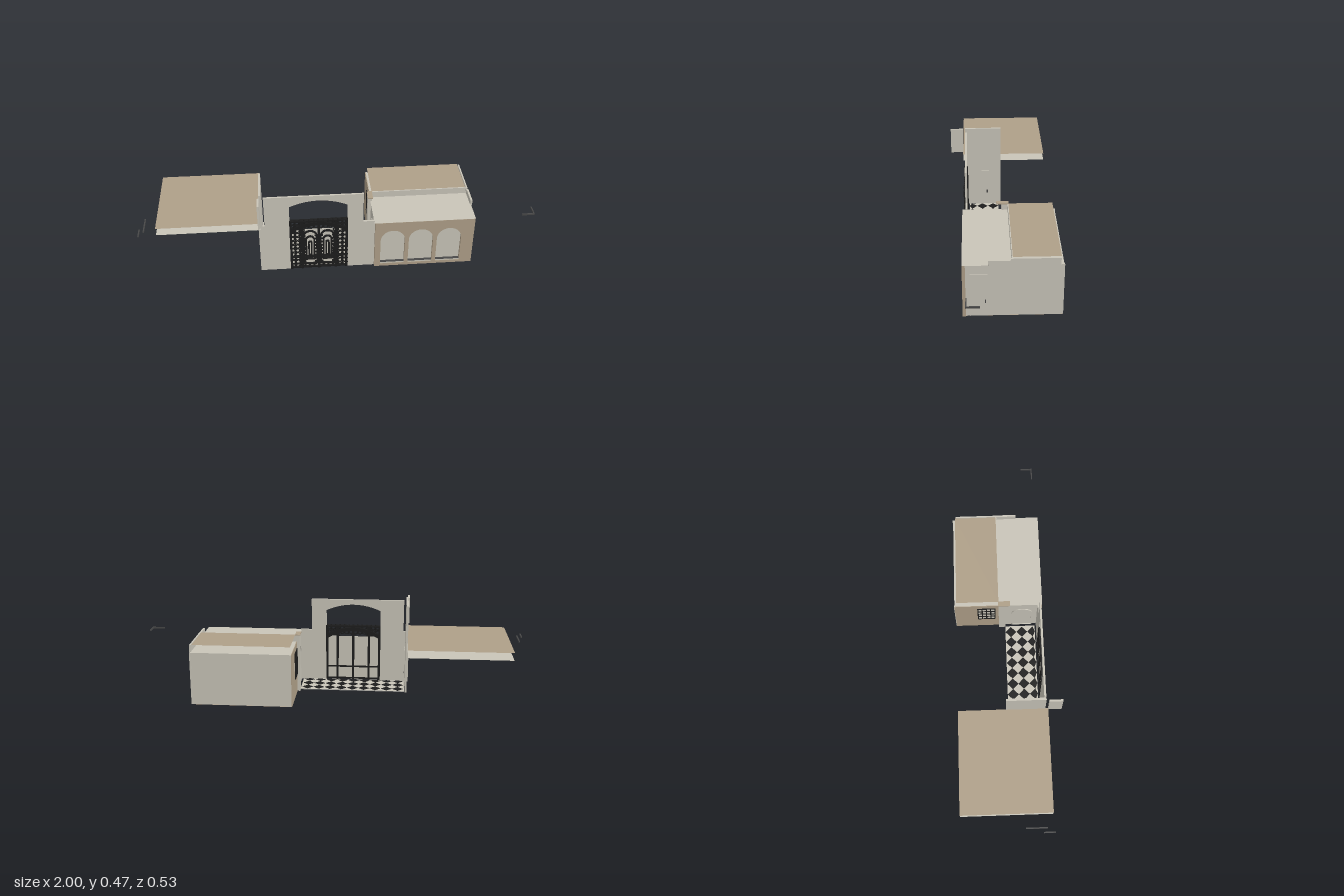
import * as THREE from 'three';

const mat = (name, color) => {
  const m = new THREE.MeshStandardMaterial({ color, side: THREE.DoubleSide });
  m.name = name;
  return m;
};

export function createModel() {
  const root = new THREE.Group();
  const plaster = mat('plaster', 0xc8c4b8);
  const tan = mat('tan', 0xae9f88);
  const black = mat('black iron', 0x1c1c1c);
  const grey = mat('floor grey', 0x8a8a88);
  const dark = mat('dark grey', 0x484848);

  const add = (name, geo, material, parent = root) => {
    const m = new THREE.Mesh(geo, material);
    m.name = name;
    parent.add(m);
    return m;
  };
  // Box given by its limits on each axis
  const box = (name, x0, x1, y0, y1, z0, z1, material, parent) => {
    const g = new THREE.BoxGeometry(x1 - x0, y1 - y0, z1 - z0);
    g.translate((x0 + x1) / 2, (y0 + y1) / 2, (z0 + z1) / 2);
    return add(name, g, material, parent);
  };
  const group = (name) => {
    const g = new THREE.Group();
    g.name = name;
    root.add(g);
    return g;
  };
  const plate = (name, x0, x1, z0, z1, y, material, parent) => {
    const g = new THREE.PlaneGeometry(x1 - x0, z1 - z0).rotateX(-Math.PI / 2);
    g.translate((x0 + x1) / 2, y, (z0 + z1) / 2);
    return add(name, g, material, parent);
  };
  // Upright outline with a round head
  const archPath = (path, x0, x1, y0, spring) => {
    path.moveTo(x0, y0);
    path.lineTo(x1, y0);
    path.lineTo(x1, spring);
    path.absarc((x0 + x1) / 2, spring, (x1 - x0) / 2, 0, Math.PI, false);
    path.lineTo(x0, y0);
    return path;
  };
  const extrude = (shape, depth) =>
    new THREE.ExtrudeGeometry(shape, { depth, bevelEnabled: false, curveSegments: 16 });

  // House body and roofs
  const house = group('house');
  box('houseBody', 0.18, 0.69, 0.005, 0.278, -0.262, 0.185, plaster, house);
  plate('houseUnderside', 0.18, 0.69, -0.262, 0.2, 0.004, tan, house);
  plate('flatRoof', 0.176, 0.692, -0.03, 0.2, 0.279, plaster, house);
  plate('raisedRoof', 0.185, 0.68, -0.25, -0.03, 0.315, tan, house);
  box('roofStepFront', 0.18, 0.69, 0.278, 0.313, -0.032, -0.026, plaster, house);
  box('roofStepSide', 0.684, 0.692, 0.278, 0.313, -0.248, -0.022, plaster, house);
  box('roofCurb', 0.687, 0.697, 0.278, 0.306, -0.022, 0.08, plaster, house);
  for (const x of [0.18, 0.682]) box('backCornerTrim', x, x + 0.008, 0.005, 0.278, -0.265, -0.262, plaster, house);

  // Front facing with three arches
  const facing = new THREE.Shape([[0.18, 0], [0.69, 0], [0.69, 0.278], [0.18, 0.278]].map((p) => new THREE.Vector2(...p)));
  for (const x of [0.21, 0.355, 0.5]) {
    facing.holes.push(archPath(new THREE.Path(), x, x + 0.125, 0.016, 0.165));
    box('archSill', x, x + 0.125, 0.016, 0.024, 0.185, 0.198, plaster, house);
    box('sillLine', x, x + 0.125, 0.024, 0.026, 0.185, 0.199, dark, house);
  }
  add('archedFacing', extrude(facing, 0.015), tan, house).position.z = 0.185;

  // Doors on side walls: frame strips and handle; s is the facing direction along x
  const door = (x, s, z0, z1, top) => {
    const d = group('sideDoor');
    const strip = (n, a, b, c, e, t, m) =>
      box(n, Math.min(x, x + s * t), Math.max(x, x + s * t), a, b, c, e, m, d);
    strip('doorLeaf', 0.005, top, z0, z1, 0.001, plaster);
    strip('doorJamb', 0.005, top, z0 - 0.003, z0, 0.004, plaster);
    strip('doorJamb', 0.005, top, z1, z1 + 0.003, 0.004, plaster);
    strip('doorHead', top, top + 0.004, z0 - 0.003, z1 + 0.003, 0.004, plaster);
    strip('doorHandle', 0.077, 0.094, z0 + 0.004, z0 + 0.01, 0.006, dark);
  };
  door(0.69, 1, 0.087, 0.161, 0.228);
  door(-0.385, 1, 0.06, 0.13, 0.21);

  // Courtyard side of the house: tan wall, lattice window, pillar, arched door
  box('courtWall', 0.177, 0.181, 0.005, 0.278, -0.262, -0.03, tan, house);
  const lattice = group('latticeWindow');
  box('windowPane', 0.175, 0.177, 0.11, 0.245, -0.14, -0.05, plaster, lattice);
  for (let i = 0; i <= 4; i++) {
    const z = -0.14 + i * 0.0225;
    const y = 0.11 + i * 0.03375;
    box('latticeUpright', 0.172, 0.176, 0.11, 0.245, z - 0.003, z + 0.003, black, lattice);
    box('latticeRail', 0.172, 0.176, y - 0.003, y + 0.003, -0.14, -0.05, black, lattice);
  }
  box('courtPillar', 0.163, 0.185, 0.005, 0.31, -0.03, 0.005, plaster, house);
  box('pillarCap', 0.16, 0.187, 0.31, 0.315, -0.032, 0.03, tan, house);
  const courtArch = archPath(new THREE.Shape(), 0.04, 0.15, 0.005, 0.165);
  courtArch.holes.push(archPath(new THREE.Path(), 0.048, 0.142, 0.006, 0.165));
  const archMesh = add('courtArchTrim', extrude(courtArch, 0.005), plaster, house);
  archMesh.rotation.y = -Math.PI / 2;
  archMesh.position.x = 0.18;

  // Gate wall with stepped top and shallow arched opening
  const wall = new THREE.Shape();
  wall.moveTo(-0.405, 0);
  wall.lineTo(-0.25, 0);
  wall.lineTo(-0.25, 0.395);
  wall.quadraticCurveTo(-0.105, 0.46, 0.04, 0.395);
  for (const p of [[0.04, 0], [0.18, 0], [0.18, 0.285], [0.12, 0.285], [0.12, 0.455], [-0.375, 0.455], [-0.375, 0.285], [-0.405, 0.285]])
    wall.lineTo(...p);
  add('gateWall', extrude(wall, 0.01), plaster).position.z = 0.175;

  // Left end wall and projecting panel
  box('endWall', -0.397, -0.386, 0.005, 0.472, -0.01, 0.185, plaster);
  box('projectingPanel', -0.405, -0.395, 0.327, 0.465, 0.198, 0.265, plaster);

  // Iron gate: backing panels, bars, inner arch and scrollwork
  const gate = group('ironGate');
  const bars = [-0.246, -0.19, -0.105, -0.02, 0.036];
  for (const x of bars) box('gatePost', x - 0.006, x + 0.006, 0.005, 0.31, 0.172, 0.194, black, gate);
  for (const y of [0.008, 0.075, 0.302]) box('gateRail', -0.25, 0.04, y, y + 0.008, 0.174, 0.193, black, gate);
  box('gatePanel', -0.25, 0.04, 0.005, 0.25, 0.179, 0.181, plaster, gate);
  const arch = new THREE.Shape();
  arch.moveTo(-0.25, 0.235);
  arch.quadraticCurveTo(-0.105, 0.325, 0.04, 0.235);
  arch.lineTo(0.04, 0.255);
  arch.quadraticCurveTo(-0.105, 0.345, -0.25, 0.255);
  add('gateArch', extrude(arch, 0.018), black, gate).position.z = 0.174;
  const ring = new THREE.TorusGeometry(0.0105, 0.0036, 4, 10);
  const bead = new THREE.CylinderGeometry(0.005, 0.005, 0.006, 6).rotateX(Math.PI / 2);
  for (let i = 0; i < 12; i++) {
    for (let j = 0; j < 12; j++) {
      const x = -0.237 + i * 0.024;
      const y = 0.02 + j * 0.0252;
      if (Math.abs(x + 0.105) < 0.08 && y > 0.03 && y < 0.25) continue;
      add('scroll', ring, black, gate).position.set(x, y, 0.187);
      add('scrollBead', bead, black, gate).position.set(x + 0.012, y + 0.0126, 0.187);
    }
  }
  for (const s of [-1, 1]) {
    // Door leaf with nested rounded frames
    const cx = -0.105 + s * 0.044;
    for (const [w, y0, y1] of [[0.038, 0.03, 0.21], [0.024, 0.06, 0.19], [0.011, 0.085, 0.17]]) {
      const leaf = archPath(new THREE.Shape(), cx - w, cx + w, y0, y1);
      leaf.holes.push(archPath(new THREE.Path(), cx - w + 0.008, cx + w - 0.008, y0 + 0.008, y1));
      add('leafFrame', extrude(leaf, 0.008), black, gate).position.z = 0.185;
    }
    for (let j = 0; j < 9; j++)
      for (const k of [-1, 1]) add('leafBead', bead, black, gate).position.set(cx + k * 0.027, 0.045 + j * 0.021, 0.187);
  }

  // Courtyard floor with diamond tiles
  const floor = group('courtFloor');
  box('floorBase', -0.385, 0.165, 0.001, 0.004, 0.005, 0.168, grey, floor);
  plate('lightTiles', -0.385, 0.165, 0.005, 0.168, 0.005, plaster, floor);
  const clampZ = (z) => Math.min(0.168, Math.max(0.005, z));
  for (let i = 0; i < 9; i++) {
    for (let j = 0; j < 3; j++) {
      const x = -0.35 + i * 0.06;
      const z = 0.035 + j * 0.06;
      const pts = [[x - 0.03, z], [x, z - 0.03], [x + 0.03, z], [x, z + 0.03]];
      const shape = new THREE.Shape(pts.map(([a, b]) => new THREE.Vector2(a, -clampZ(b))));
      const tile = add('darkTile', new THREE.ShapeGeometry(shape), black, floor);
      tile.rotation.x = -Math.PI / 2;
      tile.position.y = 0.0065;
    }
  }

  // Detached side roof: tan sheet over a plaster ceiling sheet
  plate('sideRoof', -0.91, -0.395, -0.25, 0.2, 0.313, tan);
  plate('sideCeiling', -0.91, -0.395, -0.25, 0.2, 0.274, plaster);

  // Loose trim rods at both ends
  const rods = group('trimRods');
  box('leftRod', -0.978, -0.972, 0.27, 0.278, 0.065, 0.17, dark, rods);
  box('leftFrontRod', -1, -0.994, 0.27, 0.278, 0.15, 0.207, dark, rods);
  box('rightRod', 0.935, 1, 0.27, 0.278, 0.175, 0.181, dark, rods);
  box('rightReturnRod', 0.994, 1, 0.27, 0.278, 0.12, 0.175, dark, rods);

  return root;
}
